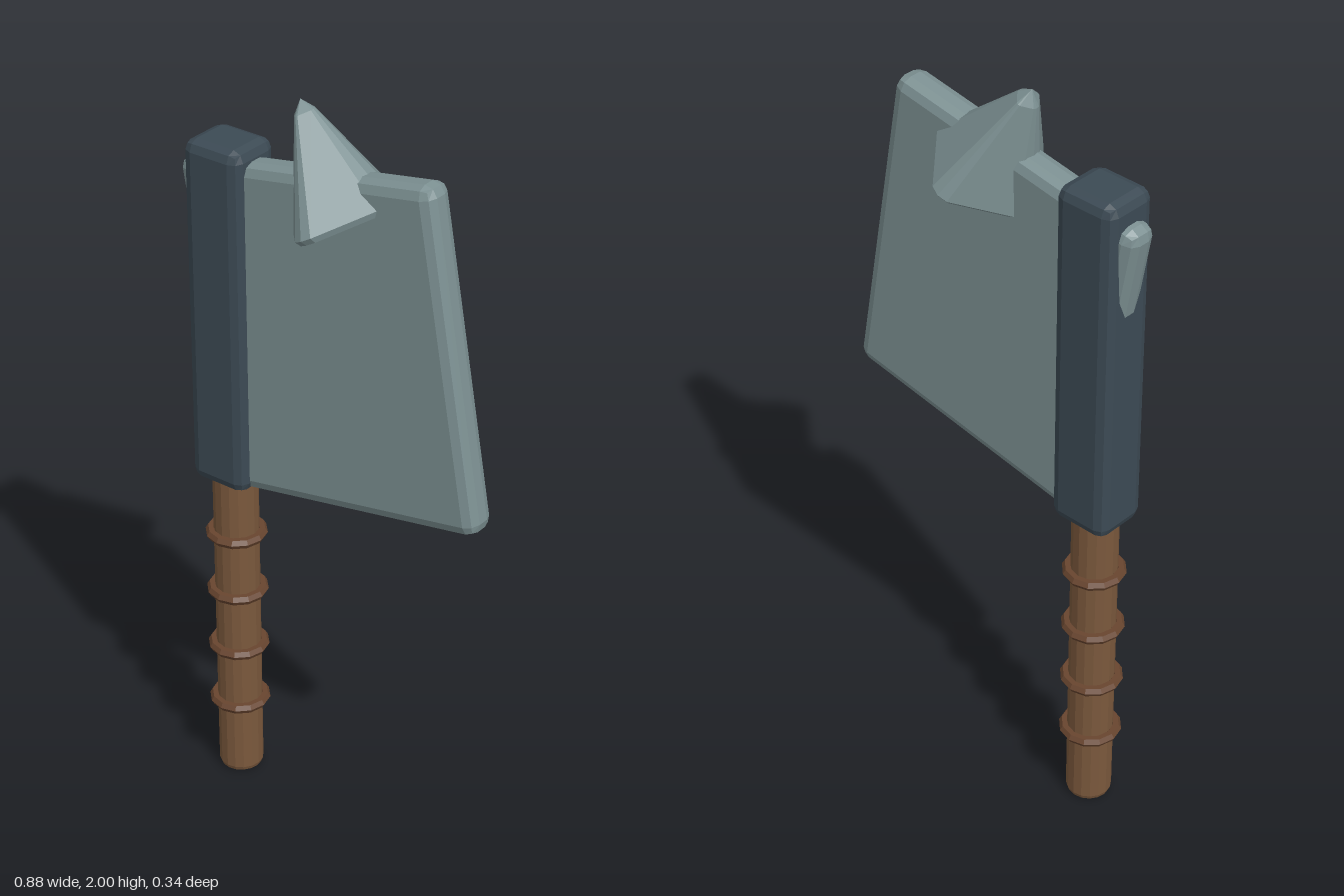
import * as THREE from 'three';
import { RoundedBoxGeometry } from 'three/addons/geometries/RoundedBoxGeometry.js';
import { ConvexGeometry } from 'three/addons/geometries/ConvexGeometry.js';

const material = (color) => new THREE.MeshStandardMaterial({ color, flatShading: true });

export function createModel() {
  const model = new THREE.Group();
  const steel = material(0x7c9092);
  const iron = material(0x3c4a54);
  const wood = material(0x7a583c);
  const cord = material(0x68452f);
  const gripX = -0.32;

  const add = (name, geometry, mat, x, y, tilt = 0) => {
    const mesh = new THREE.Mesh(geometry, mat);
    mesh.name = name;
    mesh.position.set(x, y, 0);
    mesh.rotation.z = tilt;
    model.add(mesh);
    return mesh;
  };

  // Wooden handle with bevelled ends
  const profile = [[0, 0], [0.048, 0], [0.055, 0.005], [0.059, 0.016], [0.059, 0.95], [0, 0.95]]
    .map(([r, y]) => new THREE.Vector2(r, y));
  add('handle', new THREE.LatheGeometry(profile, 16), wood, gripX, 0);

  // Cord rings around the grip
  for (let i = 0; i < 4; i++) {
    const ring = add('gripRing', new THREE.TorusGeometry(0.067, 0.014, 6, 12), cord, gripX, 0.218 + i * 0.1735);
    ring.rotation.x = Math.PI / 2;
  }

  // Dark clamp holding the blade
  add('clamp', new RoundedBoxGeometry(0.168, 0.935, 0.15, 1, 0.028), iron, gripX, 1.3725);

  // Broad tilted blade
  add('blade', new RoundedBoxGeometry(0.75, 0.883, 0.09, 1, 0.03), steel, 0, 1.4, THREE.MathUtils.degToRad(10));

  // Four-sided spike with blunted corners: rings of a truncated diamond
  const points = [new THREE.Vector3(0.003, 0.297, 0)];
  const diamond = [[0.148, 0], [0.14, 0.042], [0.025, 0.163], [0, 0.17]];
  for (const [scale, y] of [[0.93, -0.006], [1, 0.008], [0.2, 0.265]]) {
    for (const [u, v] of diamond) {
      for (const su of [-1, 1]) {
        for (const sv of [-1, 1]) points.push(new THREE.Vector3(su * u * scale, y, sv * v * scale));
      }
    }
  }
  add('spike', new ConvexGeometry(points), steel, 0.035, 1.735, THREE.MathUtils.degToRad(28));

  return model;
}
